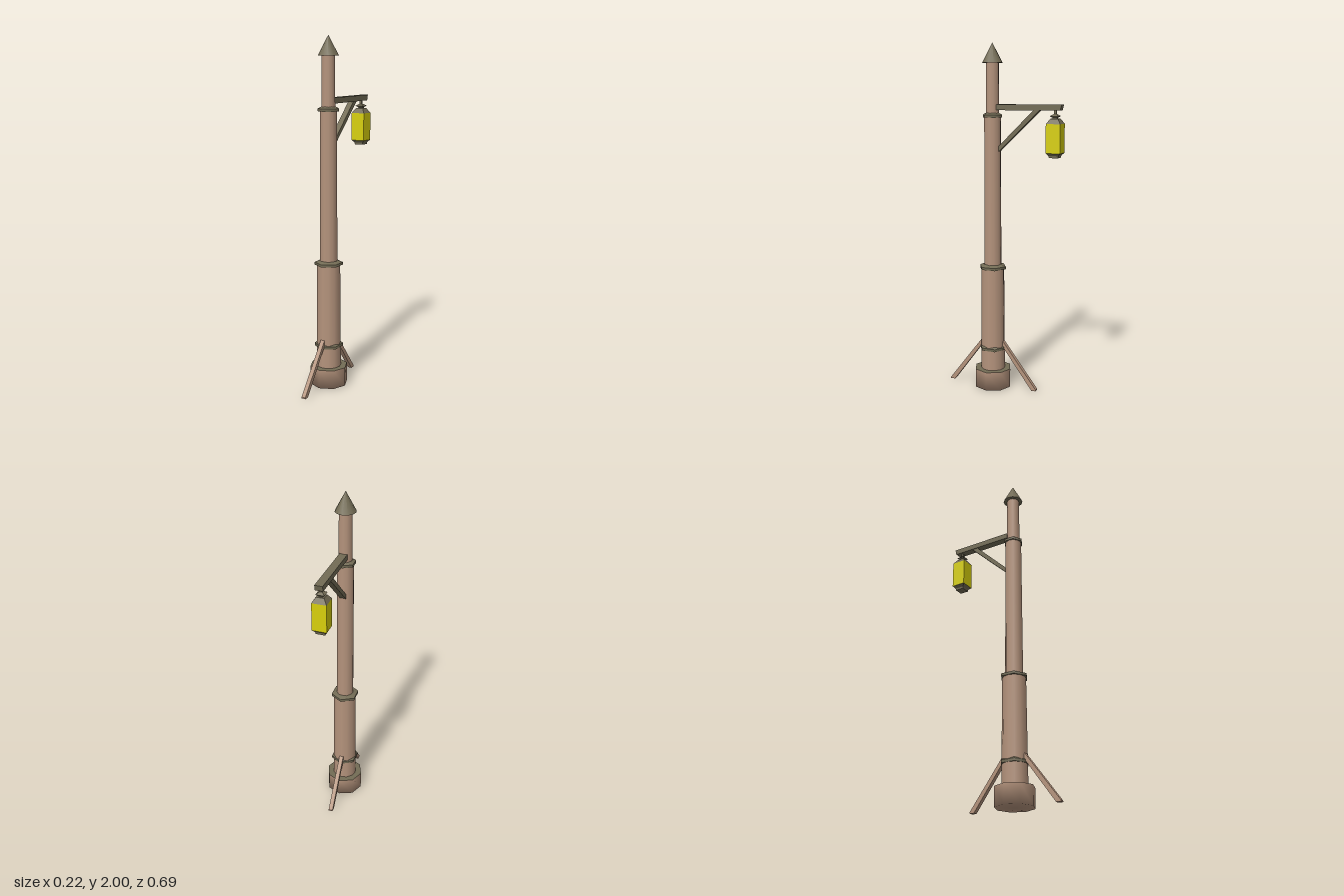
import * as THREE from 'three';

const wood = new THREE.MeshStandardMaterial({ color: 0xb4937c });
wood.name = 'wood';
const metal = new THREE.MeshStandardMaterial({ color: 0x736c55 });
metal.name = 'dullMetal';
const glow = new THREE.MeshStandardMaterial({ color: 0xd8d00c });
glow.name = 'yellowGlass';

const POLE_Z = 0.07;
const LAMP_Z = -0.303;

export function createModel() {
  const group = new THREE.Group();
  group.name = 'lampPost';

  const add = (name, geometry, material, y = 0, z = 0) => {
    const mesh = new THREE.Mesh(geometry, material);
    mesh.name = name;
    mesh.position.set(0, y, z);
    group.add(mesh);
    return mesh;
  };
  const lathe = (points, sides) =>
    new THREE.LatheGeometry(points.map(([r, y]) => new THREE.Vector2(r, y)), sides);

  // Beam drawn as a side profile of [z, y] corners and extruded across x
  const beam = (corners, width) => {
    const shape = new THREE.Shape(corners.map(([z, y]) => new THREE.Vector2(z, y)));
    return new THREE.ExtrudeGeometry(shape, { depth: width, bevelEnabled: false })
      .translate(0, 0, -width / 2)
      .rotateY(-Math.PI / 2);
  };

  // Four-sided tapered block with sides facing x and z, given half widths
  const squareBlock = (top, bottom, y0, y1) => {
    const g = new THREE.CylinderGeometry(top * Math.SQRT2, bottom * Math.SQRT2, y1 - y0, 4)
      .rotateY(Math.PI / 4)
      .translate(0, (y0 + y1) / 2, 0)
      .toNonIndexed();
    g.computeVertexNormals();
    return g;
  };

  // Eight-sided foot with a metal top plate
  add('base', lathe([[0, 0], [0.11, 0], [0.11, 0.11]], 8), wood, 0, POLE_Z);
  add('baseTop', lathe([[0.11, 0.11], [0, 0.111]], 8), metal, 0, POLE_Z);

  // Pole in three narrowing sections
  const sections = [
    ['lowerPole', 0.066, 0.071, 0.1, 0.73],
    ['middlePole', 0.047, 0.05, 0.72, 1.605],
    ['upperPole', 0.036, 0.038, 1.59, 1.895],
  ];
  for (const [name, top, bottom, y0, y1] of sections) {
    add(name, new THREE.CylinderGeometry(top, bottom, y1 - y0, 12), wood, (y0 + y1) / 2, POLE_Z);
  }

  // Six-sided collars with a sloped shoulder
  const collars = [
    ['lowerCollar', 0.082, 0.228, 0.066],
    ['middleCollar', 0.081, 0.716, 0.045],
    ['upperCollar', 0.059, 1.589, 0.034],
  ];
  for (const [name, r, y, inner] of collars) {
    add(name, lathe([[inner, y], [r, y]], 6), metal, 0, POLE_Z);
    add(name, lathe([[r, y], [r, y + 0.015]], 6), metal, 0, POLE_Z);
    add(name, lathe([[r, y + 0.015], [inner, y + 0.029]], 6), metal, 0, POLE_Z);
  }

  // Pointed cap
  add('cap', new THREE.ConeGeometry(0.058, 0.11, 12), metal, 1.945, POLE_Z);

  // Front and back struts, mirrored about the pole
  for (const side of [1, -1]) {
    const corners = [[0.275, 0], [0.275, 0.008], [0.068, 0.28], [0.06, 0.255], [0.248, 0]];
    add(side > 0 ? 'frontStrut' : 'backStrut',
      beam(corners.map(([z, y]) => [side * z, y]), 0.025), wood, 0, POLE_Z);
  }

  // Arm and its diagonal brace
  add('arm', beam([[0.04, 1.63], [0.04, 1.662], [-0.345, 1.665], [-0.337, 1.633]], 0.044), metal);
  add('brace', beam([[0.03, 1.395], [0.03, 1.425], [-0.185, 1.637], [-0.222, 1.637]], 0.034), metal);

  // Hanging lantern
  add('lanternGlass', squareBlock(0.041, 0.041, 1.4, 1.56), glow, 0, LAMP_Z);
  add('lanternRoof', squareBlock(0.022, 0.041, 1.56, 1.588), metal, 0, LAMP_Z);
  add('lanternNeck', squareBlock(0.012, 0.012, 1.585, 1.6), metal, 0, LAMP_Z);
  add('lanternFlare', squareBlock(0.024, 0.013, 1.593, 1.602), metal, 0, LAMP_Z);
  add('lanternCrown', squareBlock(0.008, 0.024, 1.602, 1.613), metal, 0, LAMP_Z);
  add('lanternHanger', squareBlock(0.007, 0.007, 1.61, 1.64), metal, 0, LAMP_Z);
  add('lanternBottom', squareBlock(0.041, 0.028, 1.386, 1.4), metal, 0, LAMP_Z);
  add('lanternFoot', squareBlock(0.028, 0.026, 1.374, 1.386), metal, 0, LAMP_Z);

  return group;
}
